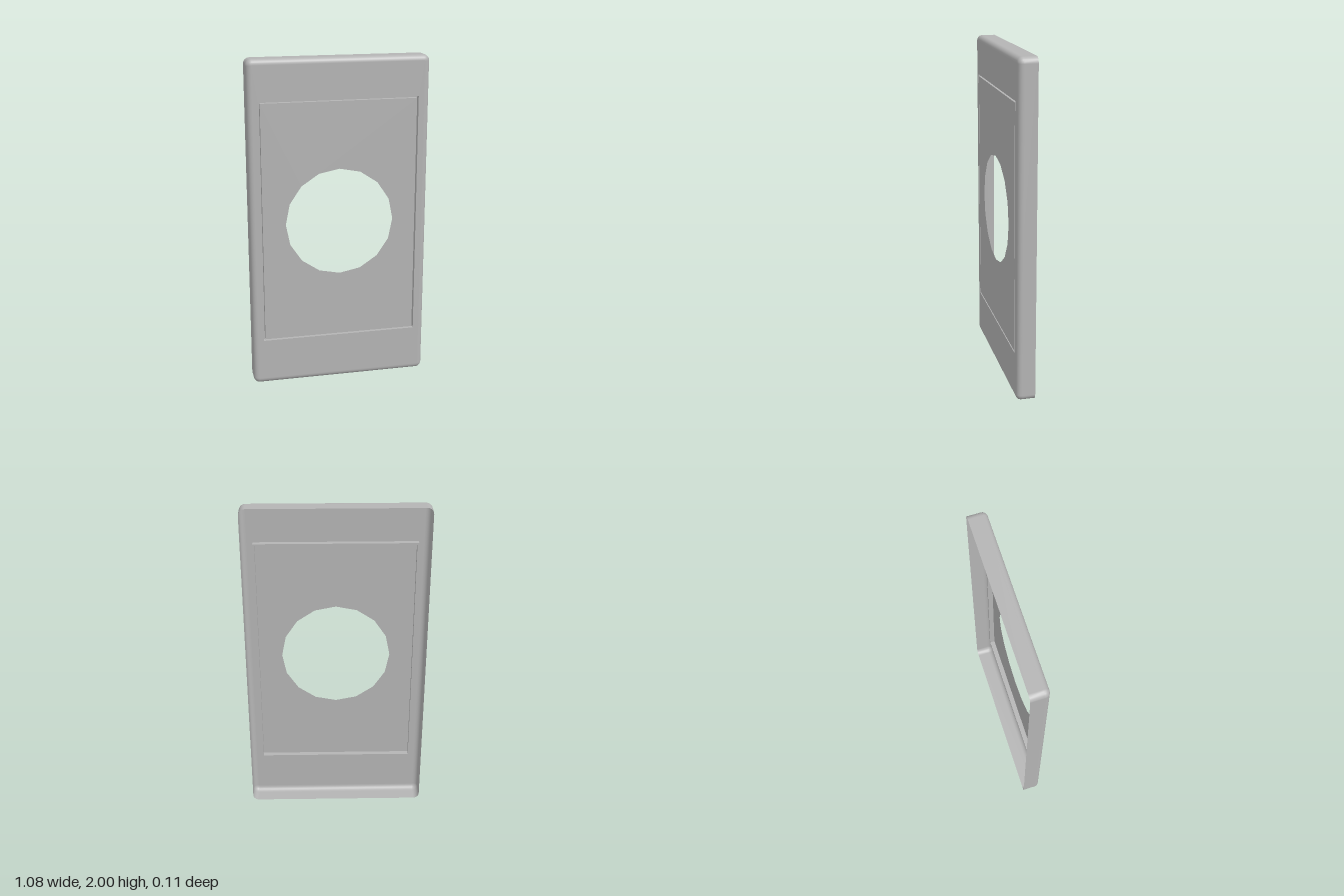
import * as THREE from 'three';

const HALF_W = 0.54, HEIGHT = 2, BACK = -0.055, FRONT = 0.055, BEVEL = 0.03, CORNER = 0.036;
const PANEL_Y = 1.0225, PANEL_W = 0.475, PANEL_H = 0.7375, SLOT = 0.01, SLOT_DEPTH = 0.03;

// Counterclockwise rounded rectangle
function roundedRect(hw, hh, r, cy, steps = 5) {
  const points = [];
  const corners = [[1, 1], [-1, 1], [-1, -1], [1, -1]];
  corners.forEach(([sx, sy], k) => {
    for (let i = 0; i <= steps; i++) {
      const a = (k + i / steps) * Math.PI / 2;
      points.push(new THREE.Vector2(sx * (hw - r) + r * Math.cos(a), cy + sy * (hh - r) + r * Math.sin(a)));
    }
  });
  return points;
}

function rect(hw, hh, cy) {
  return [[1, 1], [-1, 1], [-1, -1], [1, -1]].map(([sx, sy]) => new THREE.Vector2(sx * hw, cy + sy * hh));
}

// Skin through closed rings of equal point count
function loft(rings, flat) {
  const n = rings[0].points.length, positions = [], index = [];
  rings.forEach(({ points, z }) => points.forEach(p => positions.push(p.x, p.y, z)));
  for (let r = 0; r < rings.length - 1; r++) {
    for (let i = 0; i < n; i++) {
      const a = r * n + i, b = r * n + (i + 1) % n;
      index.push(a, b, a + n, b, b + n, a + n);
    }
  }
  let geometry = new THREE.BufferGeometry();
  geometry.setAttribute('position', new THREE.Float32BufferAttribute(positions, 3));
  geometry.setIndex(index);
  if (flat) geometry = geometry.toNonIndexed();
  geometry.computeVertexNormals();
  return geometry;
}

function plate(outline, hole) {
  const shape = new THREE.Shape(outline);
  shape.holes.push(new THREE.Path(hole));
  return new THREE.ShapeGeometry(shape);
}

export function createModel() {
  const group = new THREE.Group();
  const grey = new THREE.MeshStandardMaterial({ color: 0xb4b4b4, side: THREE.DoubleSide });
  grey.name = 'grey plastic';

  const add = (name, geometry, z = 0) => {
    const mesh = new THREE.Mesh(geometry, grey);
    mesh.name = name;
    mesh.position.z = z;
    group.add(mesh);
  };

  const outline = inset => roundedRect(HALF_W - inset, HEIGHT / 2 - inset, CORNER - inset, HEIGHT / 2);

  // Open-backed rim with a rounded front edge
  const rings = [{ points: outline(0), z: BACK }, { points: outline(0), z: FRONT - BEVEL - 0.004 }];
  for (let i = 0; i <= 6; i++) {
    const a = i / 6 * Math.PI / 2;
    rings.push({ points: outline(BEVEL * (1 - Math.cos(a))), z: FRONT - BEVEL * (1 - Math.sin(a)) });
  }
  rings.push({ points: outline(BEVEL + 0.003), z: FRONT });
  add('rim', loft(rings, false));

  // Flat face around the panel
  const slotOuter = rect(PANEL_W, PANEL_H, PANEL_Y);
  const slotInner = rect(PANEL_W - SLOT, PANEL_H - SLOT, PANEL_Y);
  add('frontFrame', plate(outline(BEVEL + 0.003), slotOuter), FRONT);

  // Narrow groove that shows as a ridge on the back
  add('panelGroove', loft([
    { points: slotOuter, z: FRONT },
    { points: slotOuter, z: FRONT - SLOT_DEPTH },
    { points: slotInner, z: FRONT - SLOT_DEPTH },
    { points: slotInner, z: FRONT },
  ], true));

  // Panel with a sixteen-sided opening
  const opening = [];
  for (let i = 0; i < 16; i++) {
    const a = i / 16 * Math.PI * 2;
    opening.push(new THREE.Vector2(0.327 * Math.cos(a), 1.02 + 0.327 * Math.sin(a)));
  }
  add('panel', plate(slotInner, opening), FRONT);

  return group;
}
